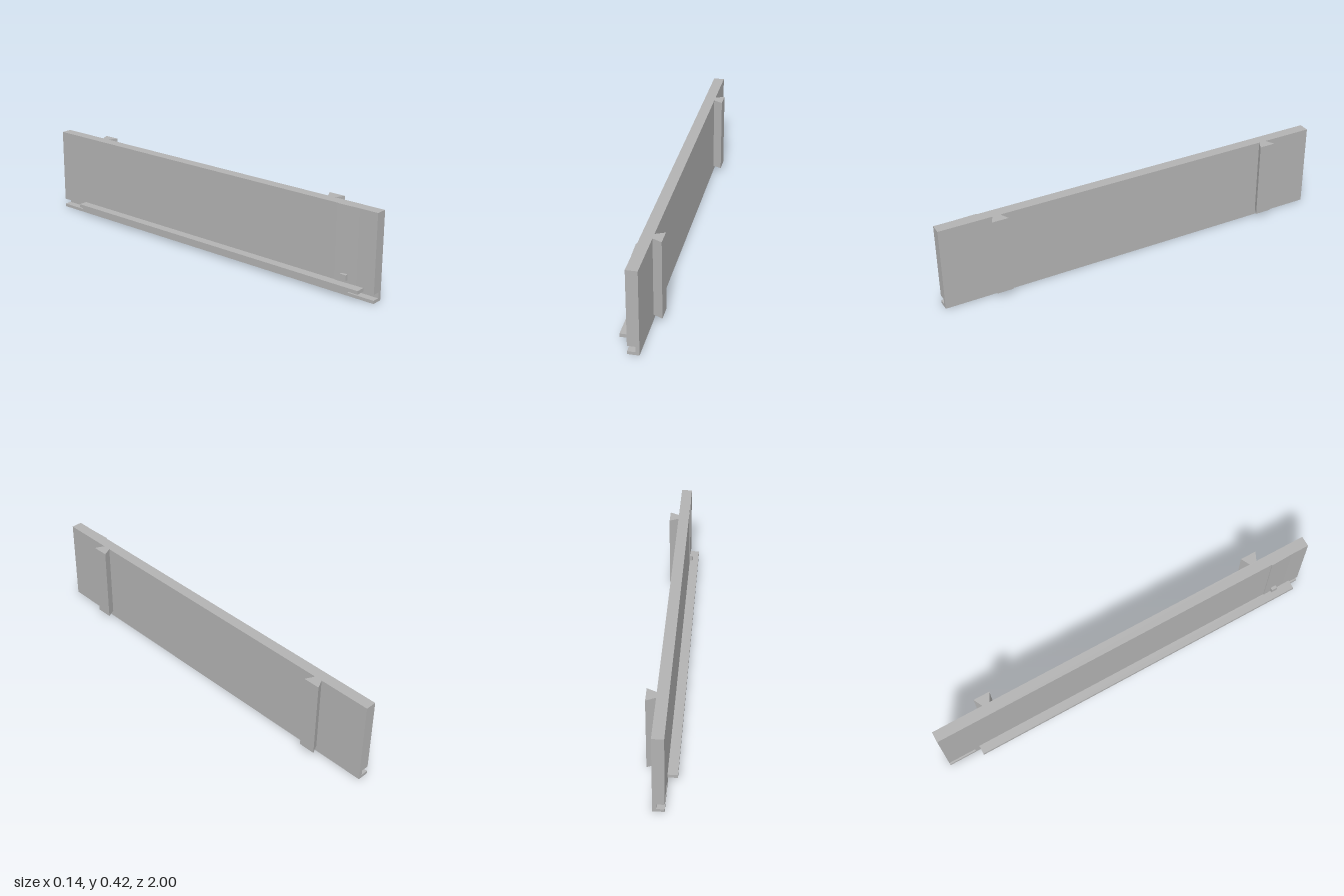
import * as THREE from 'three';

const grey = new THREE.MeshStandardMaterial({ color: 0xb2b2b2 });
grey.name = 'grey';

// Prism from an outline [[x, y], ...] running from z0 to z1
function prism(name, points, z0, z1) {
  const shape = new THREE.Shape(points.map(([x, y]) => new THREE.Vector2(x, y)));
  const geo = new THREE.ExtrudeGeometry(shape, { depth: z1 - z0, bevelEnabled: false });
  geo.translate(0, 0, z0);
  const mesh = new THREE.Mesh(geo, grey);
  mesh.name = name;
  return mesh;
}

// Upright prism from a plan outline [[x, z], ...] running from y0 to y1
function upright(name, points, y0, y1) {
  const mesh = prism(name, points.map(([x, z]) => [x, -z]), y0, y1);
  mesh.geometry.rotateX(-Math.PI / 2);
  return mesh;
}

const rect = (x0, x1, y0, y1) => [[x0, y0], [x1, y0], [x1, y1], [x0, y1]];

export function createModel() {
  const group = new THREE.Group();
  group.name = 'slidingPanel';
  const X = 0.027, H = 0.42, END = 0.86;

  // Panel: solid middle, with an open pocket low on the -x face at each end
  const notched = [
    [-X, 0], [X, 0], [X, H], [-X, H],
    [-X, 0.043], [0.01, 0.043], [0.01, 0.015], [-X, 0.015],
  ];
  group.add(
    prism('panelMiddle', rect(-X, X, 0, H), -END, END),
    prism('panelFrontEnd', notched, END, 1),
    prism('panelBackEnd', notched, -1, -END),
  );

  // Long ledge along the bottom of the -x face
  group.add(prism('ledge', rect(-0.073, -X, 0.043, 0.06), -0.835, 0.945));

  // Shallow wedge that steps out and tapers towards the front
  group.add(upright('catchWedge', [[-X, 0.793], [-0.031, 0.793], [-X, 0.906]], 0.043, H));

  // Small stop block on the wedge
  group.add(prism('stopBlock', rect(-0.044, -X, 0.073, 0.102), 0.83, 0.86));

  // Dovetail rails on the +x face
  for (const z of [-0.724, 0.72]) {
    group.add(upright('dovetailRail', [
      [X, z - 0.019], [0.072, z - 0.041], [0.072, z + 0.041], [X, z + 0.019],
    ], 0.03, H));
  }
  return group;
}
